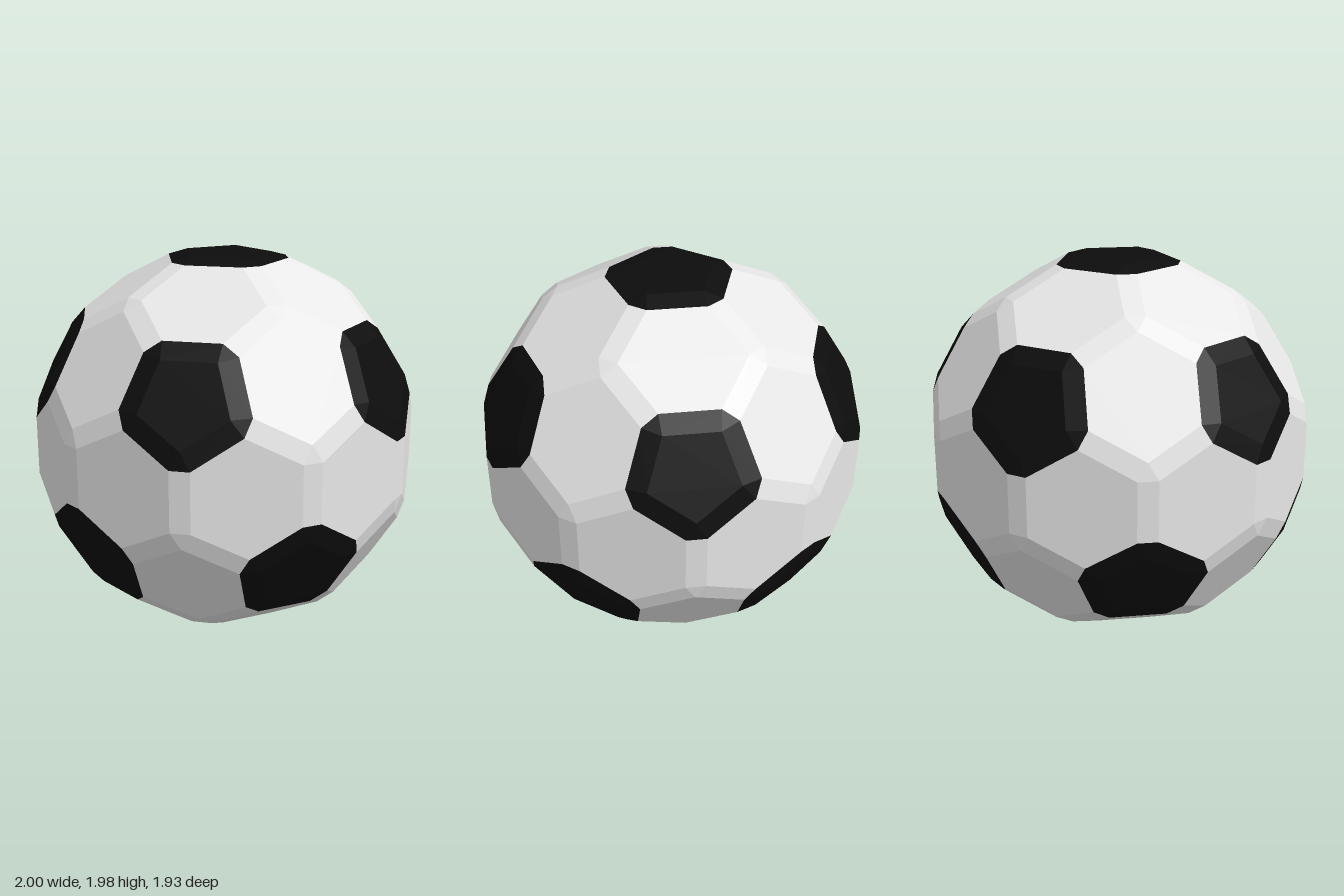
import * as THREE from 'three';

const PENT_DIST = 0.988; // centre to pentagon plane
const HEX_DIST = 0.967;  // centre to hexagon plane
const INSET = 0.053;     // bevel inset on every panel edge

// Collects convex polygons as outward facing triangles
function polygonMesh(name, polygons, material) {
  const pos = [];
  for (const poly of polygons) {
    const mid = poly.reduce((s, p) => s.add(p), new THREE.Vector3());
    const ab = poly[1].clone().sub(poly[0]);
    const ac = poly[2].clone().sub(poly[0]);
    const p = ab.cross(ac).dot(mid) < 0 ? [...poly].reverse() : poly;
    for (let i = 1; i < p.length - 1; i++) {
      for (const v of [p[0], p[i], p[i + 1]]) pos.push(v.x, v.y, v.z);
    }
  }
  const geo = new THREE.BufferGeometry();
  geo.setAttribute('position', new THREE.Float32BufferAttribute(pos, 3));
  geo.computeVertexNormals();
  const mesh = new THREE.Mesh(geo, material);
  mesh.name = name;
  return mesh;
}

// Panel axes: 12 pentagons, then 30 hexagons halfway between neighbours
function panelAxes() {
  const pents = [];
  for (const s of [1, -1]) {
    pents.push(new THREE.Vector3(0, s, 0));
    for (let k = 0; k < 5; k++) {
      const a = (k * 2 * Math.PI) / 5;
      pents.push(new THREE.Vector3(2 * Math.cos(a), 1, 2 * Math.sin(a)).normalize()
        .multiply(new THREE.Vector3(s, s, s)));
    }
  }
  const axes = pents.map((n) => ({ n, d: PENT_DIST, black: true }));
  pents.forEach((p, i) => pents.slice(i + 1).forEach((q) => {
    if (p.dot(q) > 0.4) axes.push({ n: p.clone().add(q).normalize(), d: HEX_DIST, black: false });
  }));
  return axes;
}

// Corner of panel f between its edges shared with panels g and h
function corner(f, g, h) {
  const edge = (m) => {
    const c = m.n.dot(f.n);
    const s = Math.sqrt(1 - c * c);
    return {
      u: m.n.clone().addScaledVector(f.n, -c).divideScalar(s),
      r: (m.d - f.d * c) / s - INSET,
    };
  };
  const a = edge(g), b = edge(h);
  const c = a.u.dot(b.u), k = 1 - c * c;
  return f.n.clone().multiplyScalar(f.d)
    .addScaledVector(a.u, (a.r - c * b.r) / k)
    .addScaledVector(b.u, (b.r - c * a.r) / k);
}

export function createModel() {
  const black = new THREE.MeshStandardMaterial({ color: 0x0d0d0d, flatShading: true });
  black.name = 'black';
  const white = new THREE.MeshStandardMaterial({ color: 0xe7e7e7, flatShading: true });
  white.name = 'white';

  const axes = panelAxes();
  const touch = (a, b) => a !== b && a.n.dot(b.n) > 0.8;
  const parts = { blackPanels: [], blackBevels: [], whitePanels: [], whiteBevels: [] };

  axes.forEach((f, i) => {
    // Flat panel, walking its neighbours in order around the axis
    const near = axes.filter((g) => touch(f, g));
    const u = near[0].n.clone().addScaledVector(f.n, -near[0].n.dot(f.n)).normalize();
    const v = f.n.clone().cross(u);
    const angle = (g) => Math.atan2(g.n.dot(v), g.n.dot(u));
    near.sort((a, b) => angle(a) - angle(b));
    const panel = near.map((g, k) => corner(f, g, near[(k + 1) % near.length]));
    parts[f.black ? 'blackPanels' : 'whitePanels'].push(panel);

    axes.slice(i + 1).filter((g) => touch(f, g)).forEach((g) => {
      // Bevel strip along the shared edge
      const [h, k] = axes.filter((m) => touch(m, f) && touch(m, g));
      const bevels = parts[f.black || g.black ? 'blackBevels' : 'whiteBevels'];
      bevels.push([corner(f, g, h), corner(f, g, k), corner(g, f, k), corner(g, f, h)]);
      // Small triangle where three panels meet
      for (const m of [h, k]) {
        if (axes.indexOf(m) < axes.indexOf(g)) continue;
        const tri = [corner(f, g, m), corner(g, f, m), corner(m, f, g)];
        parts[f.black ? 'blackBevels' : 'whiteBevels'].push(tri);
      }
    });
  });

  const ball = new THREE.Group();
  ball.name = 'ball';
  for (const [name, polys] of Object.entries(parts)) {
    ball.add(polygonMesh(name, polys, name.startsWith('black') ? black : white));
  }
  ball.position.y = PENT_DIST;

  const model = new THREE.Group();
  model.name = 'soccerBall';
  model.add(ball);
  return model;
}
